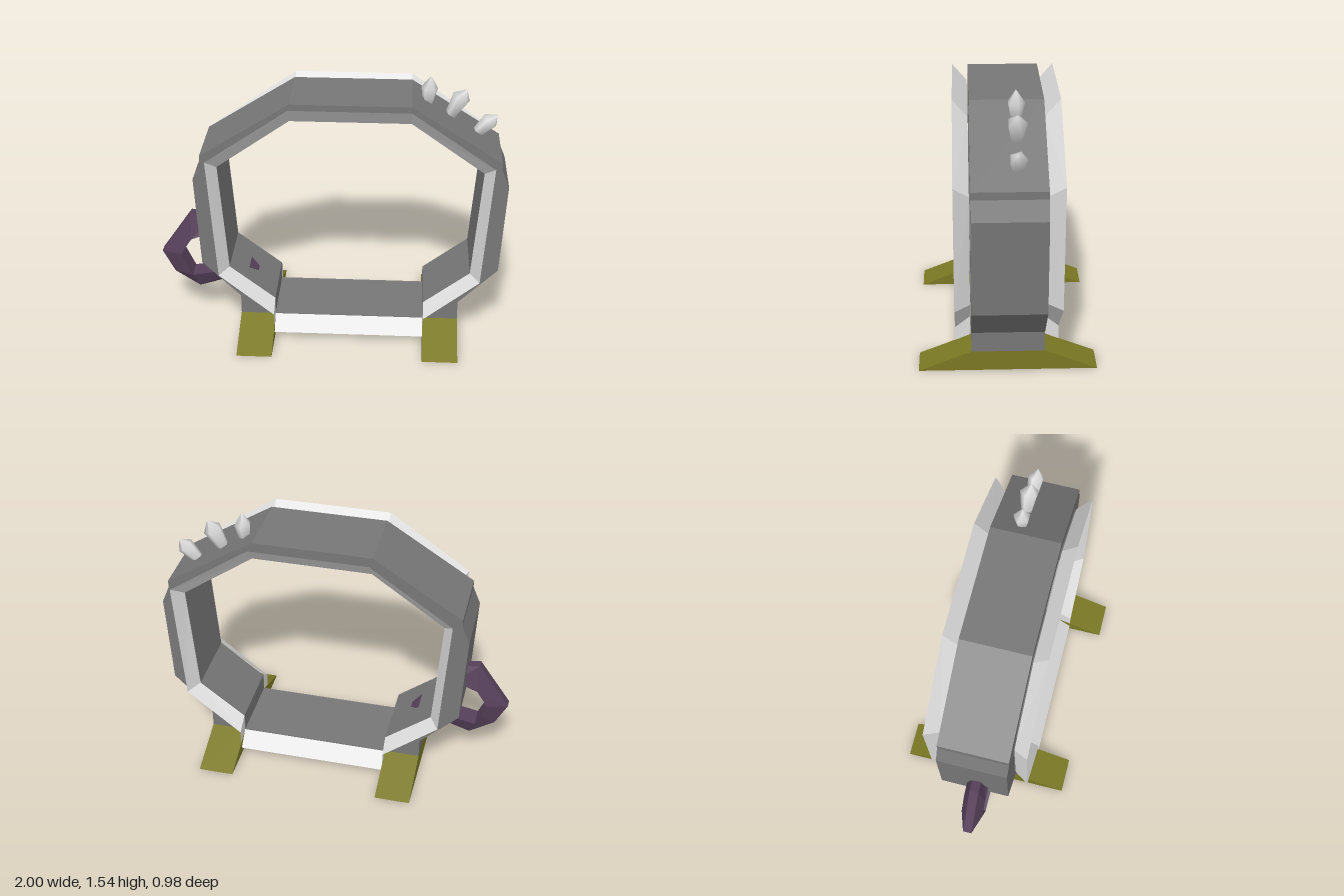
import * as THREE from 'three';

const CX = 0.115; // centre line of the arch

const mat = (name, color, side = THREE.FrontSide) => {
  const m = new THREE.MeshStandardMaterial({ color, side });
  m.name = name;
  return m;
};

// Mirrors half a profile (top to bottom) into a closed outline
const mirror = (half) => [
  ...half.map(([x, y]) => [CX + x, y]),
  ...half.slice().reverse().map(([x, y]) => [CX - x, y]),
];
const vectors = (pts) => pts.map(([x, y]) => new THREE.Vector2(x, y));

// Joins cross-sections of equal length with flat-shaded quads
function loft(sections, closeRing, closePath, caps) {
  const pos = [];
  const quad = (a, b, c, d) => pos.push(...a, ...b, ...c, ...a, ...c, ...d);
  const n = sections[0].length;
  const count = sections.length;
  for (let i = 0; i < (closePath ? count : count - 1); i++) {
    const a = sections[i], b = sections[(i + 1) % count];
    for (let j = 0; j < (closeRing ? n : n - 1); j++) {
      const k = (j + 1) % n;
      quad(a[j], b[j], b[k], a[k]);
    }
  }
  if (caps) {
    quad(...sections[0]);
    quad(...sections[count - 1].slice().reverse());
  }
  const g = new THREE.BufferGeometry();
  g.setAttribute('position', new THREE.Float32BufferAttribute(pos, 3));
  g.computeVertexNormals();
  return g;
}

export function createModel() {
  const model = new THREE.Group();
  model.name = 'archway';
  const stone = mat('stoneGrey', 0x777777);
  const pale = mat('paleGrey', 0xdcdcdc, THREE.DoubleSide);
  const olive = mat('olive', 0x7a7823);
  const purple = mat('darkPurple', 0x56405a);

  const add = (name, geometry, material) => {
    const mesh = new THREE.Mesh(geometry, material);
    mesh.name = name;
    model.add(mesh);
    return mesh;
  };

  // Polygonal ring band with a floor sill
  const inner = mirror([[0.335, 1.36], [0.745, 1.07], [0.695, 0.43], [0.432, 0.225], [0.432, 0.118]]);
  const outer = mirror([
    [0.335, 1.455], [0.842, 1.132], [0.842, 1.09], [0.885, 0.985], [0.855, 0.45],
    [0.635, 0.23], [0.635, 0.115], [0.432, 0.115], [0.432, 0],
  ]);
  const shape = new THREE.Shape(vectors(outer));
  shape.holes.push(new THREE.Path(vectors(inner).reverse()));
  const band = new THREE.ExtrudeGeometry(shape, { depth: 0.4, bevelEnabled: false });
  band.translate(0, 0, -0.2);
  add('ringBand', band, stone);

  // Thin flared rims on both faces
  const flared = mirror([[0.335, 1.457], [0.8, 1.135], [0.748, 0.415], [0.434, 0.16], [0.434, 0.04]]);
  for (const [name, s] of [['frontRim', 1], ['backRim', -1]]) {
    const sections = inner.map(([x, y], i) => [[x, y, s * 0.206], [...flared[i], s * 0.289]]);
    add(name, loft(sections, false, true, false), pale);
  }

  // Wedge feet with grey undersides
  const footShape = new THREE.Shape(vectors([[-0.489, 0.001], [0.489, 0.001], [0.2, 0.115], [-0.2, 0.115]]));
  for (const [name, x] of [['rightFoot', -0.52], ['leftFoot', 0.547]]) {
    const foot = new THREE.ExtrudeGeometry(footShape, { depth: 0.203, bevelEnabled: false });
    foot.rotateY(Math.PI / 2);
    foot.translate(x, 0, 0);
    add(name, foot, olive);
    const sole = new THREE.PlaneGeometry(0.203, 0.978);
    sole.rotateX(Math.PI / 2);
    sole.translate(x + 0.1015, 0, 0);
    add(name + 'Sole', sole, stone);
  }

  // Side handle: outer edge narrower than the inner edge, its foot just breaking through the wall
  const handlePath = [
    [-0.68, 0.67, -0.68, 0.59], [-0.82, 0.69, -0.82, 0.53], [-1, 0.43, -0.885, 0.43],
    [-0.93, 0.295, -0.85, 0.355], [-0.785, 0.2, -0.82, 0.29], [-0.43, 0.3155, -0.478, 0.353],
  ];
  const z = 0.02, narrow = 0.025, wide = 0.063;
  const handle = handlePath.map(([ox, oy, ix, iy]) => [
    [ox, oy, z - narrow], [ox, oy, z + narrow], [ix, iy, z + wide], [ix, iy, z - wide],
  ]);
  add('handle', loft(handle, true, false, true), purple);

  // Crystals growing from the sloped shoulder: base, tip, radius, height of the widest ring
  const crystals = [
    [0.538, 1.375, 0.552, 1.543, 0.049, 0.56],
    [0.665, 1.305, 0.755, 1.468, 0.055, 0.68],
    [0.815, 1.2, 0.932, 1.318, 0.05, 0.68],
  ];
  crystals.forEach(([x0, y0, x1, y1, r, waist], i) => {
    const axis = new THREE.Vector3(x1 - x0, y1 - y0, 0);
    const h = axis.length();
    const profile = vectors([[0, -0.01], [r * 0.6, 0], [r, h * waist], [0, h]]);
    const crystal = add('crystal' + (i + 1), new THREE.LatheGeometry(profile, 5, Math.PI), pale);
    crystal.position.set(x0, y0, -0.045);
    crystal.quaternion.setFromUnitVectors(new THREE.Vector3(0, 1, 0), axis.normalize());
  });

  return model;
}
